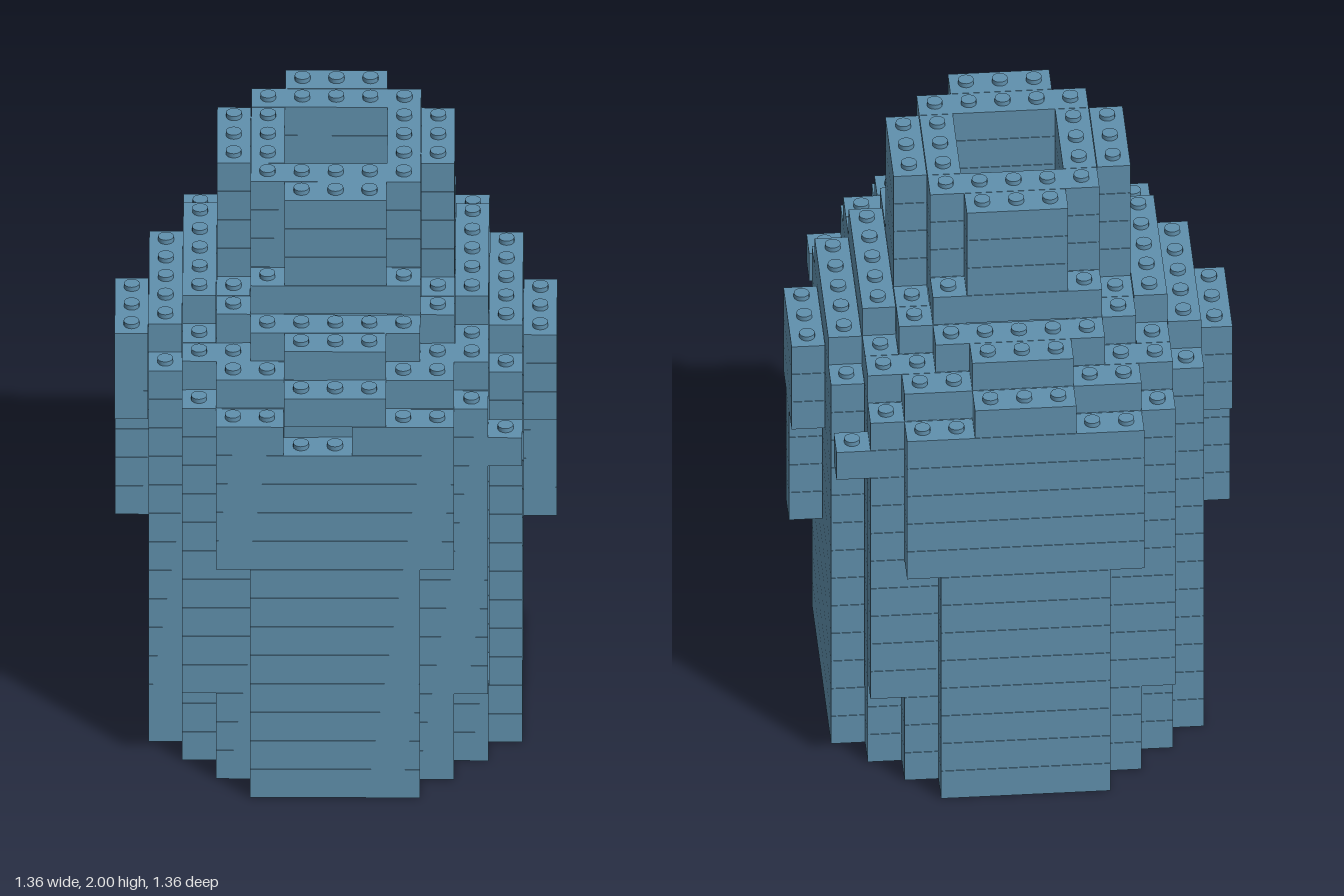
import * as THREE from 'three';
import { mergeGeometries } from 'three/addons/utils/BufferGeometryUtils.js';

const P = 0.1045;       // brick pitch, also the layer height
const GAP = 0.0015;     // seam between bricks
const STUD_R = 0.024, STUD_H = 0.0145;
const N = 6, LAYERS = 19;

// Half-width in cells for rows |k| = 0..6; each entry holds from its layer upward
const PROFILE = [
  [0, [5, 5, 5, 5, 4, 3, 2]],
  [3, [5, 5, 5, 5, 4, 4, 2]],
  [6, [6, 5, 5, 5, 4, 4, 2]],
  [8, [6, 5, 5, 5, 4, 4, 3]],
  [10, [6, 6, 5, 5, 4, 4, 3]],
  [13, [5, 5, 5, 4, 4, 3, 1]],
  [14, [4, 4, 4, 3, 2, 1, -1]],
  [15, [3, 3, 2, 2, -1, -1, -1]],
  [16, [3, 3, 2, 1, -1, -1, -1]],
];

const outlineOf = (layer) => PROFILE.filter(([from]) => from <= layer).pop()[1];
const within = (outline, i, k) => Math.abs(k) <= N && Math.abs(i) <= outline[Math.abs(k)];
const key = (i, k) => `${i},${k}`;

// Set of filled cells for a layer: solid floor, then a wall two bricks thick
function cellsOf(layer) {
  const cells = new Set();
  const o = outlineOf(layer);
  for (let k = -N; k <= N; k++) {
    for (let i = -N; i <= N; i++) {
      if (!within(o, i, k)) continue;
      const hollow = layer > 1 && within(o, i + 2, k) && within(o, i - 2, k)
        && within(o, i, k + 2) && within(o, i, k - 2);
      if (!hollow) cells.add(key(i, k));
    }
  }
  // Protruding single bricks and the missing shoulder brick
  if (layer === 11) [-5, 5].forEach((k) => cells.add(key(5, k)));
  if (layer === 12) [-1, 0].forEach((i) => cells.delete(key(i, 6)));
  return cells;
}

// Join cells into long bricks: along x at front and back, along z at the sides
function bricksOf(cells, layer) {
  const bricks = [];
  const alongX = (i, k) => layer < 2 || Math.abs(k) >= Math.abs(i);
  for (const dirX of [true, false]) {
    for (let row = -N; row <= N; row++) {
      let start = null;
      for (let c = -N; c <= N + 1; c++) {
        const i = dirX ? c : row, k = dirX ? row : c;
        const filled = cells.has(key(i, k)) && alongX(i, k) === dirX;
        if (filled && start === null) start = c;
        if (!filled && start !== null) {
          const length = c - start, mid = (start + c - 1) / 2;
          const box = new THREE.BoxGeometry(
            (dirX ? length : 1) * P - GAP, P - GAP, (dirX ? 1 : length) * P - GAP);
          box.translate((dirX ? mid : row) * P, (layer + 0.5) * P, (dirX ? row : mid) * P);
          bricks.push(box);
          start = null;
        }
      }
    }
  }
  return bricks;
}

// Studs on every cell with nothing above it
function studsOf(cells, above, layer) {
  const studs = [];
  for (const cell of cells) {
    if (above.has(cell)) continue;
    const [i, k] = cell.split(',').map(Number);
    const stud = new THREE.CylinderGeometry(STUD_R, STUD_R, STUD_H + 0.002, 16);
    stud.translate(i * P, (layer + 1) * P + STUD_H / 2 - 0.001, k * P);
    studs.push(stud);
  }
  return studs;
}

function partName(layer) {
  if (layer < 2) return 'floor';
  if (layer < 13) return 'body';
  return layer < 15 ? 'shoulder' : 'neck';
}

export function createModel() {
  const model = new THREE.Group();
  model.name = 'brickBottle';
  const blue = new THREE.MeshStandardMaterial({ color: 0x6090ad });
  blue.name = 'steelBlue';

  const layers = Array.from({ length: LAYERS }, (_, n) => cellsOf(n));
  layers.forEach((cells, n) => {
    const add = (geometries, kind) => {
      if (!geometries.length) return;
      const mesh = new THREE.Mesh(mergeGeometries(geometries), blue);
      mesh.name = `${partName(n)}${kind}${n + 1}`;
      model.add(mesh);
    };
    add(bricksOf(cells, n), 'Bricks');
    add(studsOf(cells, layers[n + 1] ?? new Set(), n), 'Studs');
  });
  return model;
}
